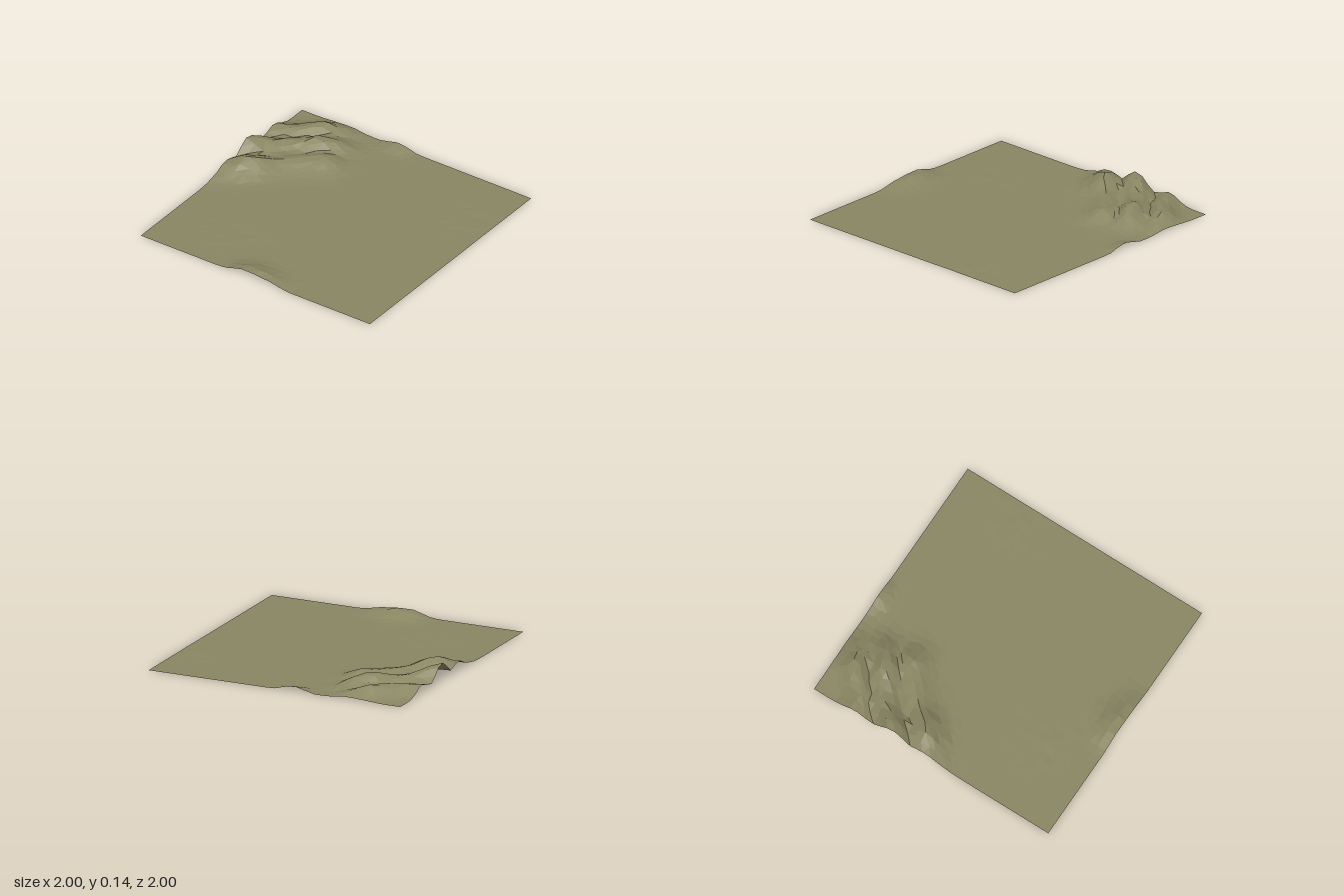
import * as THREE from 'three';

const SEGMENTS = 32;

// Each ridge: crest points [x, z, height] and the width of its slopes
const RIDGES = [
  // front ridge, running diagonally back
  { w: 0.125, crest: [[-1.06, 0.03, 0.04], [-0.98, -0.05, 0.075], [-0.9, -0.11, 0.115], [-0.82, -0.18, 0.108],
    [-0.72, -0.29, 0.062], [-0.6, -0.41, 0.065], [-0.46, -0.51, 0.074]] },
  // main ridge with the highest crest
  { w: 0.11, crest: [[-1.02, -0.31, 0.148], [-0.95, -0.36, 0.138], [-0.86, -0.46, 0.09], [-0.74, -0.56, 0.072],
    [-0.6, -0.65, 0.117], [-0.5, -0.72, 0.075]] },
  // rear ridge
  { w: 0.1, crest: [[-1.02, -0.63, 0.068], [-0.85, -0.71, 0.075], [-0.7, -0.85, 0.088], [-0.58, -0.9, 0.05]] },
  // mound on the front edge
  { w: 0.11, crest: [[-0.11, 0.97, 0.05], [-0.02, 0.95, 0.055], [0.1, 0.97, 0.034]] },
  // small mound on the back edge
  { w: 0.075, crest: [[-0.18, -1, 0.034], [-0.12, -1, 0.034]] },
];

function seededRandom(seed) {
  return () => {
    seed = (seed * 16807) % 2147483647;
    return seed / 2147483647;
  };
}

// Height of one ridge at a point: crest height fading with distance
function ridgeHeight({ w, crest }, x, z) {
  let best = 0;
  for (let i = 0; i < crest.length - 1; i++) {
    const [ax, az, ah] = crest[i];
    const [bx, bz, bh] = crest[i + 1];
    const dx = bx - ax, dz = bz - az;
    const t = THREE.MathUtils.clamp(((x - ax) * dx + (z - az) * dz) / (dx * dx + dz * dz), 0, 1);
    const d = Math.hypot(x - ax - t * dx, z - az - t * dz);
    best = Math.max(best, THREE.MathUtils.lerp(ah, bh, t) * Math.exp(-((d / w) ** 2)));
  }
  return best;
}

export function createModel() {
  const group = new THREE.Group();
  const random = seededRandom(71);
  const geometry = new THREE.PlaneGeometry(2, 2, SEGMENTS, SEGMENTS).rotateX(-Math.PI / 2);
  const pos = geometry.attributes.position;

  for (let i = 0; i < pos.count; i++) {
    let x = pos.getX(i), z = pos.getZ(i);
    // loosen the grid inside, keep the square outline straight
    const jx = (random() - 0.5) * 0.03, jz = (random() - 0.5) * 0.03, rough = random();
    if (Math.abs(x) < 0.999) x += jx;
    if (Math.abs(z) < 0.999) z += jz;

    const hill = Math.max(...RIDGES.map((r) => ridgeHeight(r, x, z)));
    // faintly uneven patches on the plain
    const patch = Math.exp(-(((x + 0.45) / 0.25) ** 2 + ((z - 0.55) / 0.25) ** 2))
      + Math.exp(-(((x - 0.85) / 0.2) ** 2 + ((z + 0.5) / 0.25) ** 2));
    const y = (hill < 0.001 ? 0 : hill * (0.94 + 0.12 * rough)) + patch * rough * 0.004;
    pos.setXYZ(i, x, y, z);
  }
  geometry.computeVertexNormals();

  const terrain = new THREE.Mesh(geometry, new THREE.MeshStandardMaterial({
    color: 0x898663, flatShading: true, side: THREE.DoubleSide,
  }));
  terrain.name = 'terrain';
  group.add(terrain);
  return group;
}
